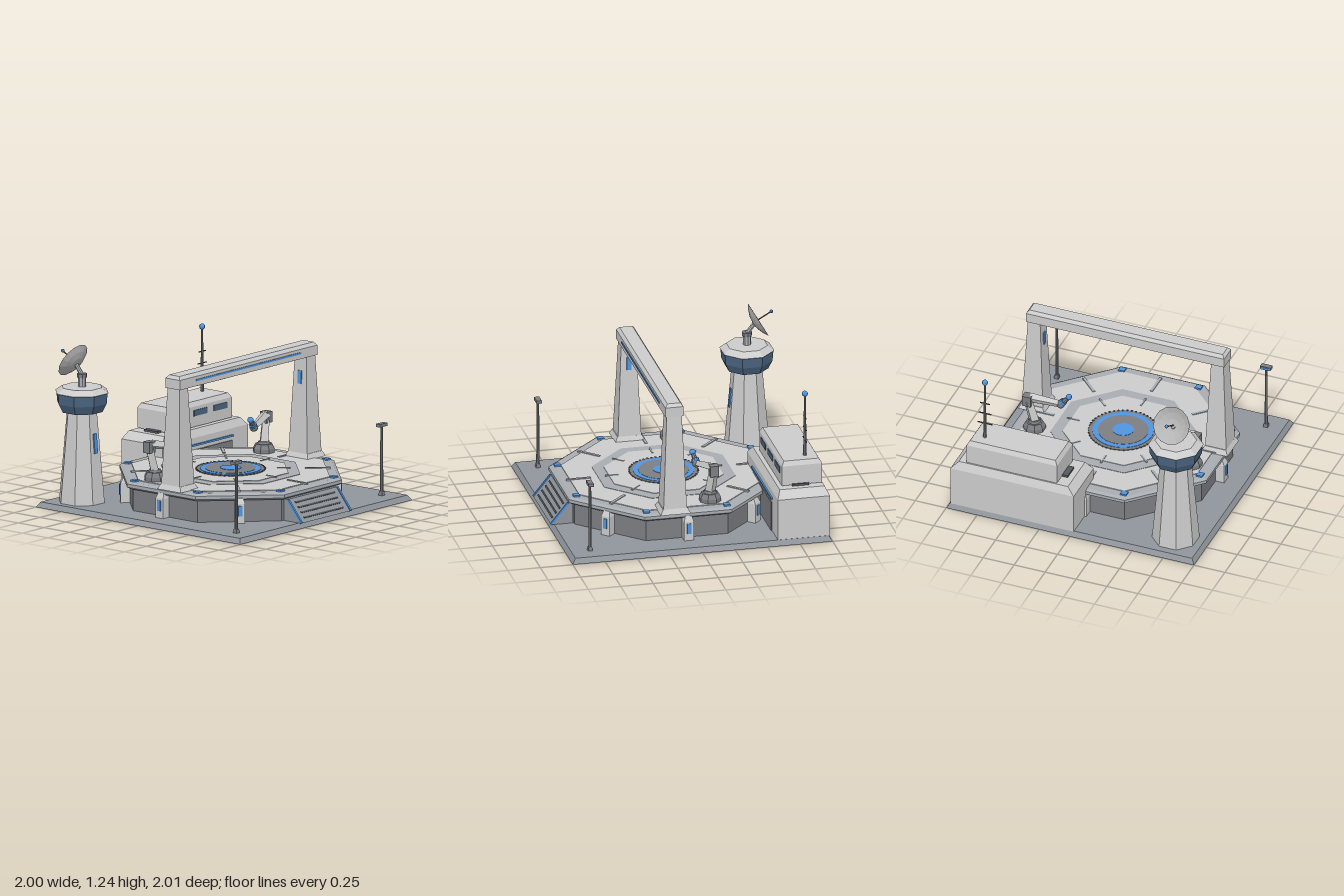
import * as THREE from 'three';

const mat = (color, double) => new THREE.MeshStandardMaterial({
  color, flatShading: true, side: double ? THREE.DoubleSide : THREE.FrontSide });
const GREY = mat(0xcccccc), TRIM = mat(0xa8adb2), GROUND = mat(0x8f959b), DARK = mat(0x7c7e82);
const BLACK = mat(0x55585c), BLUE = mat(0x4f94e0), GLASS = mat(0x4a6480), DISH = mat(0xb4b4b4, true);
const CZ = 0.065; // centre of the landing platform
const V = (x, y, z) => new THREE.Vector3(x, y, z);

function add(parent, name, geo, material, x = 0, y = 0, z = 0) {
  const m = new THREE.Mesh(geo, material);
  m.name = name;
  m.position.set(x, y, z);
  parent.add(m);
  return m;
}
function group(parent, name, x = 0, y = 0, z = 0) {
  const g = new THREE.Group();
  g.name = name;
  g.position.set(x, y, z);
  parent.add(g);
  return g;
}
const box = (w, h, d) => new THREE.BoxGeometry(w, h, d);

// Box standing on its origin, with a top of a different size
function taper(w, d, h, tw, td) {
  const g = box(1, h, 1).translate(0, h / 2, 0), p = g.attributes.position;
  for (let i = 0; i < p.count; i++) {
    const top = p.getY(i) > h / 2;
    p.setX(i, p.getX(i) * (top ? tw : w));
    p.setZ(i, p.getZ(i) * (top ? td : d));
  }
  g.computeVertexNormals();
  return g;
}
// Octagonal solid from [apothem, y] pairs, flat sides along the axes
function octagon(points) {
  const k = 1 / Math.cos(Math.PI / 8);
  return new THREE.LatheGeometry(points.map(([a, y]) => new THREE.Vector2(a * k, y)), 8, Math.PI / 8);
}
// Straight member between two points
function rod(parent, name, a, b, r0, r1, material, sides = 8) {
  const d = b.clone().sub(a);
  const m = add(parent, name, new THREE.CylinderGeometry(r1, r0, d.length(), sides), material);
  m.position.copy(a).lerp(b, 0.5);
  m.quaternion.setFromUnitVectors(V(0, 1, 0), d.normalize());
  return m;
}
const ball = (r) => new THREE.SphereGeometry(r, 12, 8);

function platform(root) {
  const g = group(root, 'landingPlatform', 0, 0, CZ);
  add(g, 'platformWall', octagon([[0.76, 0.04], [0.76, 0.22]]), DARK);
  add(g, 'platformRim', octagon([[0.74, 0.205], [0.785, 0.21], [0.807, 0.225], [0.807, 0.25], [0.785, 0.264], [0, 0.264]]), TRIM);
  // Stacked deck layers
  [[0.72, 0.27, GREY, 'outerDeck'], [0.505, 0.273, TRIM, 'deckChannel'], [0.42, 0.277, GREY, 'innerDeck']]
    .forEach(([a, y, m, n]) => add(g, n, octagon([[a, 0.26], [a, y], [0, y]]), m));
  const disc = (name, r, top, m) => add(g, name, new THREE.CylinderGeometry(r, r, 0.02, 48), m, 0, top - 0.01);
  disc('padDisc', 0.26, 0.281, DARK);
  disc('padRing', 0.23, 0.284, BLUE);
  disc('padCentre', 0.19, 0.286, DARK);
  disc('padTarget', 0.08, 0.289, BLUE);
  for (let i = 0; i < 48; i++) {
    const t = i * Math.PI / 24;
    add(g, 'padStud', box(0.012, 0.008, 0.012), BLACK, Math.cos(t) * 0.258, 0.28, Math.sin(t) * 0.258).rotation.y = -t;
  }
  for (let i = 0; i < 8; i++) {
    const s = group(g, 'platformSector');
    s.rotation.y = i * Math.PI / 4;
    add(s, 'deckRib', box(0.022, 0.012, 0.19), TRIM, 0, 0.27, 0.655);
    add(s, 'innerRib', box(0.014, 0.012, 0.1), TRIM, 0, 0.275, 0.4);
    // Corner marker light
    const c = add(g, 'markerLight', box(0.048, 0.014, 0.048), BLUE);
    const t = Math.PI / 8 + i * Math.PI / 4;
    c.position.set(Math.sin(t) * 0.807, 0.269, Math.cos(t) * 0.807);
    if (i === 0) continue; // ramp side has no buttress
    add(s, 'buttress', taper(0.075, 0.09, 0.15, 0.075, 0.09), GREY, 0, 0.04, 0.785);
    add(s, 'buttressCap', taper(0.075, 0.09, 0.04, 0.05, 0.05), GREY, 0, 0.19, 0.785);
    add(s, 'buttressLight', box(0.03, 0.08, 0.01), BLUE, 0, 0.135, 0.832);
  }
}

function ramp(root) {
  const g = group(root, 'ramp');
  const s = new THREE.Shape([[-1, 0.04], [-0.83, 0.04], [-0.83, 0.205], [-0.865, 0.205]].map(p => new THREE.Vector2(...p)));
  add(g, 'rampBody', new THREE.ExtrudeGeometry(s, { depth: 0.58, bevelEnabled: false }), GROUND, -0.29).rotation.y = Math.PI / 2;
  const tilt = Math.atan2(0.135, 0.165);
  const slope = group(g, 'rampSurface', 0, 0.1225, 0.9325);
  slope.rotation.x = -tilt;
  for (const x of [-0.285, 0.285]) add(slope, 'rampEdgeLight', box(0.016, 0.21, 0.016), BLUE, x);
  for (let i = 0; i < 4; i++) add(slope, 'rampTread', box(0.46, 0.012, 0.012), BLACK, 0, -0.066 + i * 0.045);
}

function gantry(root) {
  const g = group(root, 'gantry', 0, 0, 0.17);
  for (const s of [-1, 1]) {
    const p = group(g, 'gantryPillar', s * 0.74);
    add(p, 'pillarFoot', taper(0.21, 0.23, 0.04, 0.17, 0.19), GREY, 0, 0.265);
    add(p, 'pillarShaft', taper(0.17, 0.18, 0.74, 0.1, 0.115), GREY, 0, 0.3);
    add(p, 'pillarLight', box(0.012, 0.1, 0.035), BLUE, -s * 0.06, 0.88).rotation.z = s * -0.047;
  }
  add(g, 'beam', taper(1.6, 0.14, 0.075, 1.6, 0.14), GREY, 0, 1.04);
  add(g, 'beamTop', taper(1.6, 0.14, 0.025, 1.56, 0.1), GREY, 0, 1.115);
  add(g, 'beamLight', box(1.22, 0.014, 0.012), BLUE, 0, 1.085, 0.07);
  for (let i = -2; i <= 2; i++) add(g, 'downLight', box(0.08, 0.014, 0.07), BLUE, i * 0.264, 1.034);
}

function tower(root) {
  const g = group(root, 'controlTower', -0.755, 0, -0.755);
  add(g, 'towerShaft', octagon([[0.165, 0.04], [0.108, 0.74]]), GREY);
  add(g, 'towerWindows', octagon([[0, 0.735], [0.15, 0.735], [0.18, 0.8], [0.186, 0.88]]), GLASS);
  add(g, 'towerRoof', octagon([[0.186, 0.877], [0.193, 0.882], [0.145, 0.92], [0, 0.92]]), GREY);
  add(g, 'towerLight', box(0.035, 0.15, 0.014), BLUE, 0, 0.5, 0.13).rotation.x = -0.08;
  // Dish, pointing back and upward
  rod(g, 'dishPost', V(0, 0.92, 0), V(0, 1.0, 0), 0.03, 0.03, TRIM);
  rod(g, 'dishSwivel', V(0, 0.99, 0), V(0, 1.02, 0), 0.038, 0.038, DARK);
  rod(g, 'dishArm', V(0, 1.01, 0), V(0, 1.085, -0.06), 0.017, 0.017, TRIM);
  const d = group(g, 'dish', 0, 1.085, -0.045);
  d.rotation.x = -Math.PI / 3;
  const profile = [0, 0.05, 0.1, 0.145].map(r => new THREE.Vector2(r, 0.05 * (r / 0.145) ** 2));
  add(d, 'dishBowl', new THREE.LatheGeometry(profile, 14), DISH);
  rod(d, 'dishFeed', V(0, 0, 0), V(0, 0.16, 0), 0.006, 0.005, BLACK, 6);
  add(d, 'dishFeedTip', ball(0.014), BLUE, 0, 0.165);
}

function building(root) {
  const g = group(root, 'hangar', 0.475, 0, -0.785);
  add(g, 'hangarBody', box(0.995, 0.32, 0.4), GREY, 0, 0.2);
  add(g, 'hangarRoof', taper(0.995, 0.4, 0.06, 0.88, 0.345), GREY, 0, 0.36);
  add(g, 'hangarDoor', box(0.62, 0.23, 0.012), DARK, 0, 0.155, 0.202);
  add(g, 'hangarLight', box(0.65, 0.014, 0.016), BLUE, 0, 0.305, 0.204);
  for (const s of [-1, 1]) add(g, 'roofVent', box(0.05, 0.02, 0.13), BLACK, s * 0.37, 0.425);
  const u = group(g, 'upperFloor', 0.015, 0, -0.013);
  add(u, 'upperBody', box(0.73, 0.155, 0.31), GREY, 0, 0.5025);
  add(u, 'upperRoof', taper(0.73, 0.31, 0.035, 0.69, 0.27), GREY, 0, 0.58);
  for (const i of [-1, 0, 1]) add(u, 'upperWindow', box(0.155, 0.045, 0.012), GLASS, i * 0.23, 0.53, 0.155);
  // Radio mast
  const m = group(root, 'radioMast', 0.75, 0, -0.845);
  rod(m, 'mastPole', V(0, 0.61, 0), V(0, 1.1, 0), 0.014, 0.007, DARK);
  [[0.74, 0.12], [0.83, 0.1], [0.92, 0.08]].forEach(([y, w]) => add(m, 'mastBar', box(w, 0.007, 0.007), BLACK, 0, y));
  add(m, 'mastLight', ball(0.023), BLUE, 0, 1.11);
}

function robotArm(root, s) {
  const g = group(root, s > 0 ? 'leftRobotArm' : 'rightRobotArm');
  const P = (x, y, z) => V(s * x, y, z);
  const base = group(g, 'armBase', s * 0.633, 0, -0.142);
  add(base, 'armFoot', octagon([[0.078, 0.268], [0.078, 0.3], [0.06, 0.335], [0, 0.335]]), DARK);
  add(base, 'armTurntable', new THREE.CylinderGeometry(0.042, 0.05, 0.02, 12), DARK, 0, 0.343);
  rod(g, 'lowerArm', P(0.633, 0.33, -0.142), P(0.68, 0.53, -0.16), 0.042, 0.036, GREY, 4);
  add(g, 'elbow', box(0.07, 0.085, 0.065), DARK, s * 0.68, 0.528, -0.16);
  rod(g, 'forearm', P(0.67, 0.55, -0.155), P(0.45, 0.5, -0.085), 0.037, 0.026, GREY, 4);
  add(g, 'wrist', ball(0.033), DARK, s * 0.445, 0.498, -0.083);
  rod(g, 'wristCollar', P(0.437, 0.508, -0.08), P(0.422, 0.527, -0.075), 0.03, 0.03, BLUE, 10);
  rod(g, 'tool', P(0.43, 0.517, -0.078), P(0.39, 0.56, -0.067), 0.021, 0.016, DARK);
  add(g, 'toolTip', ball(0.024), BLUE, s * 0.386, 0.567, -0.066);
}

function lampPost(root, s) {
  const g = group(root, 'lampPost', s * 0.845, 0, 0.832);
  add(g, 'lampFoot', taper(0.035, 0.035, 0.03, 0.028, 0.028), DARK, 0, 0.04);
  rod(g, 'lampPole', V(0, 0.04, 0), V(0, 0.575, 0), 0.013, 0.01, DARK);
  add(g, 'lampHead', box(0.085, 0.024, 0.04), DARK, 0, 0.58);
  add(g, 'lampPanel', box(0.07, 0.018, 0.03), BLUE, 0, 0.575, -0.008);
}

export function createModel() {
  const root = new THREE.Group();
  root.name = 'spaceport';
  add(root, 'groundSlab', taper(2, 2, 0.04, 1.95, 1.95), GROUND);
  platform(root);
  ramp(root);
  gantry(root);
  tower(root);
  building(root);
  for (const s of [-1, 1]) {
    robotArm(root, s);
    lampPost(root, s);
  }
  return root;
}
